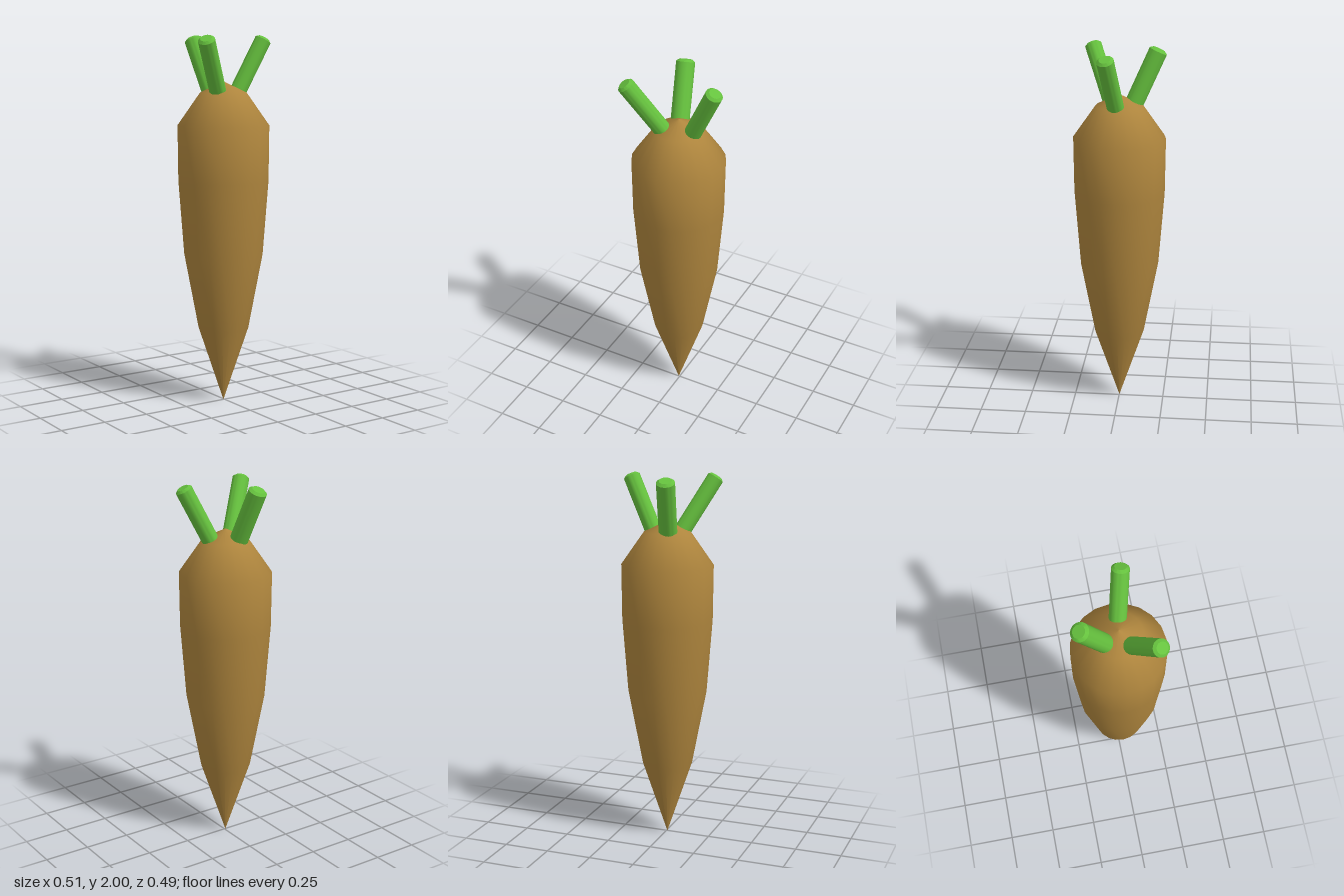
import * as THREE from 'three';
import { toCreasedNormals } from 'three/addons/utils/BufferGeometryUtils.js';

const points = (list) => list.map(([r, y]) => new THREE.Vector2(r, y));

// Round stalk with a bevelled end, running from one point to another
function createStalk(from, to, radius, material) {
  const start = new THREE.Vector3(...from);
  const axis = new THREE.Vector3(...to).sub(start);
  const length = axis.length();
  const profile = points([
    [0, 0], [radius, 0], [radius, length - 0.012], [radius * 0.68, length], [0, length],
  ]);
  const geometry = toCreasedNormals(new THREE.LatheGeometry(profile, 28), 0.5);
  const stalk = new THREE.Mesh(geometry, material);
  stalk.position.copy(start);
  stalk.quaternion.setFromUnitVectors(new THREE.Vector3(0, 1, 0), axis.normalize());
  return stalk;
}

export function createModel() {
  const model = new THREE.Group();
  model.name = 'rootVegetable';
  const brown = new THREE.MeshStandardMaterial({ color: 0xae853d });
  const green = new THREE.MeshStandardMaterial({ color: 0x66c23e });

  // Tapered root, pointed at the bottom with a domed shoulder
  const rootProfile = points([
    [0, 0], [0.137, 0.41], [0.214, 0.82], [0.244, 1.22],
    [0.247, 1.52], [0.125, 1.695], [0, 1.755],
  ]);
  const root = new THREE.Mesh(new THREE.LatheGeometry(rootProfile, 20), brown);
  root.name = 'root';
  root.position.set(-0.006, 0, -0.001);
  model.add(root);

  // Three cut stalks splaying out of the crown
  const stalks = [
    ['leftStalk', [0.06, 1.66, 0.005], [0.222, 1.985, 0.052], 0.045],
    ['rightStalk', [-0.052, 1.66, 0.032], [-0.223, 1.981, 0.164], 0.045],
    ['backStalk', [-0.033, 1.66, -0.058], [-0.071, 1.985, -0.203], 0.049],
  ];
  for (const [name, from, to, radius] of stalks) {
    const stalk = createStalk(from, to, radius, green);
    stalk.name = name;
    model.add(stalk);
  }
  return model;
}
